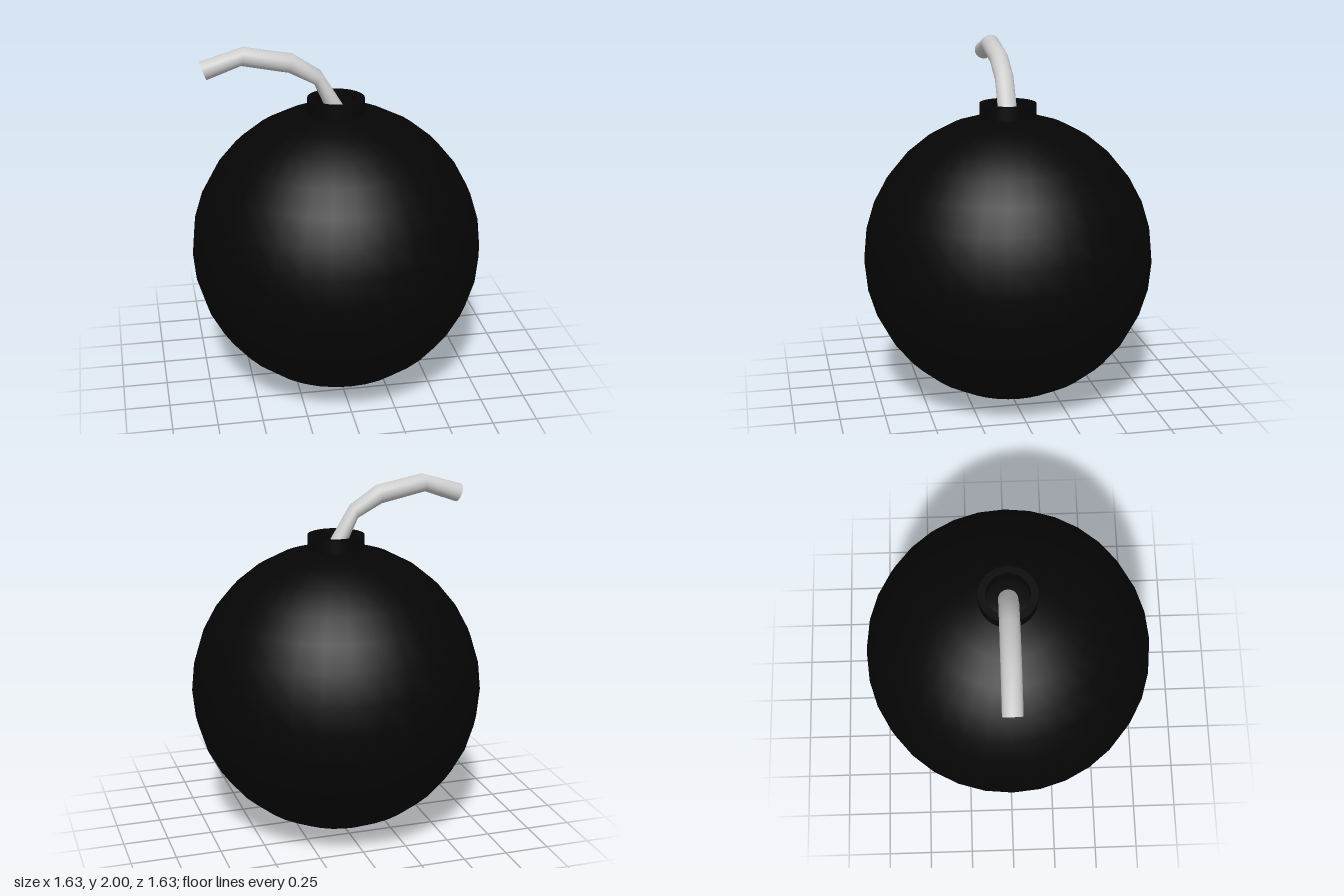
import * as THREE from 'three';
import { toCreasedNormals } from 'three/addons/utils/BufferGeometryUtils.js';

// Bent tube with mitred joints: each section is [x, y] of its lower and upper edge.
function mitredTube(sections, radius, sides) {
  const pos = [], index = [];
  for (const [x0, y0, x1, y1] of sections) {
    for (let j = 0; j < sides; j++) {
      const a = (j / sides) * Math.PI * 2, c = Math.cos(a) / 2;
      pos.push((x0 + x1) / 2 + (x1 - x0) * c, (y0 + y1) / 2 + (y1 - y0) * c, radius * Math.sin(a));
    }
  }
  for (let i = 0; i < sections.length - 1; i++) {
    for (let j = 0; j < sides; j++) {
      const k = (j + 1) % sides;
      const a = i * sides + j, b = i * sides + k;
      index.push(a, a + sides, b, b, a + sides, b + sides);
    }
  }
  // flat cap on the free end
  const [x0, y0, x1, y1] = sections[sections.length - 1];
  const last = (sections.length - 1) * sides, centre = pos.length / 3;
  pos.push((x0 + x1) / 2, (y0 + y1) / 2, 0);
  for (let j = 0; j < sides; j++) index.push(centre, last + ((j + 1) % sides), last + j);

  const geo = new THREE.BufferGeometry();
  geo.setAttribute('position', new THREE.Float32BufferAttribute(pos, 3));
  geo.setIndex(index);
  return toCreasedNormals(geo, 0.9);
}

export function createModel() {
  const model = new THREE.Group();
  const black = new THREE.MeshStandardMaterial({ color: 0x050505 });
  const grey = new THREE.MeshStandardMaterial({ color: 0xcccccc });

  const add = (name, geometry, material) => {
    const mesh = new THREE.Mesh(geometry, material);
    mesh.name = name;
    model.add(mesh);
    return mesh;
  };

  // Round body
  const R = 0.815;
  add('body', new THREE.SphereGeometry(R, 32, 16), black).position.y = R;

  // Hollow collar around the fuse hole
  const profile = [[0.158, 1.58], [0.158, 1.69], [0.118, 1.69], [0.118, 1.58]]
    .map(([x, y]) => new THREE.Vector2(x, y));
  add('collar', toCreasedNormals(new THREE.LatheGeometry(profile, 32), 0.6), black);

  // Bent fuse, from the collar out to its tip
  add('fuse', mitredTube([
    [-0.053, 1.625, 0.053, 1.625],
    [-0.12, 1.775, -0.085, 1.85],
    [-0.26, 1.848, -0.235, 1.95],
    [-0.515, 1.9, -0.5, 2.0],
    [-0.7, 1.832, -0.735, 1.93],
  ], 0.053, 24), grey);

  return model;
}
